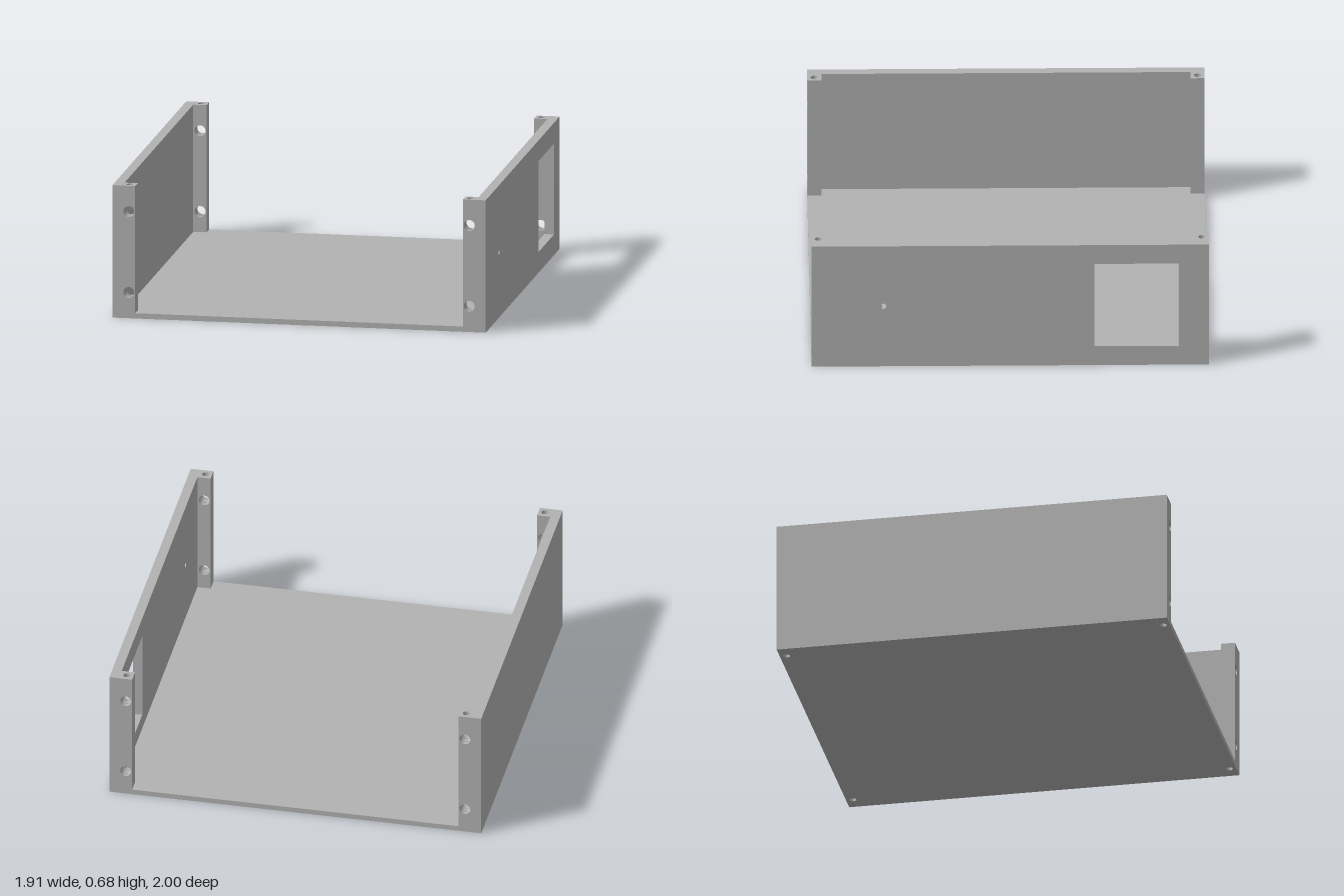
import * as THREE from 'three';

// Main dimensions: half width, half depth, height, floor thickness
const W = 0.956, D = 1, H = 0.682, F = 0.027;
const I = 0.907;            // inner wall face
const P = 0.839, Z = 0.929; // inner faces of the corner posts
const BX = 0.872, BZ = 0.965; // bore centres in the posts
const BOLT_R = 0.028, PIN_R = 0.018, PEG_R = 0.015;
const BOLT_Y = [0.133, 0.549];
const WIN = { z0: -0.848, z1: -0.425, y0: 0.107, y1: 0.575 };
const PEG = { z: 0.64, y: 0.341 };

// Facing direction: rotation, and world coordinates (z,y / x,z / x,y) to panel coordinates
const FACING = {
  '+x': { rot: [0, Math.PI / 2, 0], axis: 'x', map: (a, b) => [-a, b] },
  '-x': { rot: [0, -Math.PI / 2, 0], axis: 'x', map: (a, b) => [a, b] },
  '+y': { rot: [-Math.PI / 2, 0, 0], axis: 'y', map: (a, b) => [a, -b] },
  '-y': { rot: [Math.PI / 2, 0, 0], axis: 'y', map: (a, b) => [a, b] },
  '+z': { rot: [0, 0, 0], axis: 'z', map: (a, b) => [a, b] },
  '-z': { rot: [0, Math.PI, 0], axis: 'z', map: (a, b) => [-a, b] },
};

const rect = (a0, b0, a1, b1) => [[a0, b0], [a1, b0], [a1, b1], [a0, b1]];
const circle = (a, b, r, n = 32) => Array.from({ length: n }, (_, i) => {
  const t = (i / n) * Math.PI * 2;
  return [a + r * Math.cos(t), b + r * Math.sin(t)];
});

export function createModel() {
  const model = new THREE.Group();
  model.name = 'enclosureTray';
  const grey = new THREE.MeshStandardMaterial({ color: 0xb2b2b2, side: THREE.DoubleSide });
  grey.name = 'grey';

  const group = (name) => {
    const g = new THREE.Group();
    g.name = name;
    model.add(g);
    return g;
  };

  // Flat face with optional holes, at a given offset along its axis
  const panel = (parent, name, facing, offset, outline, holes = []) => {
    const { rot, axis, map } = FACING[facing];
    const toVec = (pts) => pts.map(([a, b]) => new THREE.Vector2(...map(a, b)));
    const shape = new THREE.Shape(toVec(outline));
    shape.holes = holes.map((h) => new THREE.Path(toVec(h)));
    const mesh = new THREE.Mesh(new THREE.ShapeGeometry(shape), grey);
    mesh.name = name;
    mesh.rotation.set(...rot);
    mesh.position[axis] = offset;
    parent.add(mesh);
  };

  // Round lining of a drilled hole
  const bore = (parent, name, axis, r, length, x, y, z) => {
    const geo = new THREE.CylinderGeometry(r, r, length, 32, 1, true);
    if (axis === 'x') geo.rotateZ(Math.PI / 2);
    if (axis === 'z') geo.rotateX(Math.PI / 2);
    const mesh = new THREE.Mesh(geo, grey);
    mesh.name = name;
    mesh.position.set(x, y, z);
    parent.add(mesh);
  };

  const signs = [1, -1];
  const pinHoles = (sx) => signs.map((sz) => circle(sx * BX, sz * BZ, PIN_R));
  const boltHoles = (sx) => BOLT_Y.map((y) => circle(sx * BX, y, BOLT_R));

  // Floor, notched around the posts on its upper face
  const floor = group('floor');
  panel(floor, 'floorUnderside', '-y', 0, rect(-W, -D, W, D), signs.flatMap(pinHoles));
  const edge = [[P, D], [P, Z], [I, Z], [I, -Z], [P, -Z], [P, -D]];
  const mirrored = edge.map(([x, z]) => [-x, -z]);
  panel(floor, 'floorTop', '+y', F, [...edge, ...mirrored]);

  // U-shaped end faces: post fronts joined by the floor edge
  const ends = group('endFaces');
  const uShape = [[-W, 0], [W, 0], [W, H], [P, H], [P, F], [-P, F], [-P, H], [-W, H]];
  panel(ends, 'frontEnd', '+z', D, uShape, signs.flatMap(boltHoles));
  panel(ends, 'backEnd', '-z', -D, uShape, signs.flatMap(boltHoles));

  // Side walls and their corner posts
  for (const sx of signs) {
    const side = sx > 0 ? 'left' : 'right';
    const out = sx > 0 ? '+x' : '-x';
    const inward = sx > 0 ? '-x' : '+x';
    const wall = group(side + 'Wall');
    const openings = sx > 0
      ? [rect(WIN.z0, WIN.y0, WIN.z1, WIN.y1), circle(PEG.z, PEG.y, PEG_R)]
      : [];
    panel(wall, 'wallOutside', out, sx * W, rect(-D, 0, D, H), openings);
    panel(wall, 'wallInside', inward, sx * I, rect(-Z, F, Z, H), openings);
    const rim = [[W, D], ...edge, [W, -D]].map(([x, z]) => [sx * x, z]);
    panel(wall, 'wallRim', '+y', H, rim, pinHoles(sx));

    for (const sz of signs) {
      const post = group((sz > 0 ? 'front' : 'back') + (sx > 0 ? 'Left' : 'Right') + 'Post');
      panel(post, 'postInnerSide', inward, sx * P, rect(sz * Z, F, sz * D, H));
      panel(post, 'postRearFace', sz > 0 ? '-z' : '+z', sz * Z,
        rect(sx * P, F, sx * I, H), boltHoles(sx));
      // Bolt holes run through the post, the pin hole runs from floor to rim between them
      for (const y of BOLT_Y) bore(post, 'boltHole', 'z', BOLT_R, D - Z, sx * BX, y, sz * (D + Z) / 2);
      const stops = [0, ...BOLT_Y.flatMap((y) => [y - 0.025, y + 0.025]), H];
      for (let i = 0; i < stops.length; i += 2) {
        bore(post, 'pinHole', 'y', PIN_R, stops[i + 1] - stops[i],
          sx * BX, (stops[i] + stops[i + 1]) / 2, sz * BZ);
      }
    }
  }

  // Linings of the rectangular window and the small hole in the left wall
  const cutouts = group('wallCutouts');
  panel(cutouts, 'windowSill', '+y', WIN.y0, rect(I, WIN.z0, W, WIN.z1));
  panel(cutouts, 'windowHead', '-y', WIN.y1, rect(I, WIN.z0, W, WIN.z1));
  panel(cutouts, 'windowBackJamb', '+z', WIN.z0, rect(I, WIN.y0, W, WIN.y1));
  panel(cutouts, 'windowFrontJamb', '-z', WIN.z1, rect(I, WIN.y0, W, WIN.y1));
  bore(cutouts, 'smallHole', 'x', PEG_R, W - I, (W + I) / 2, PEG.y, PEG.z);

  return model;
}
